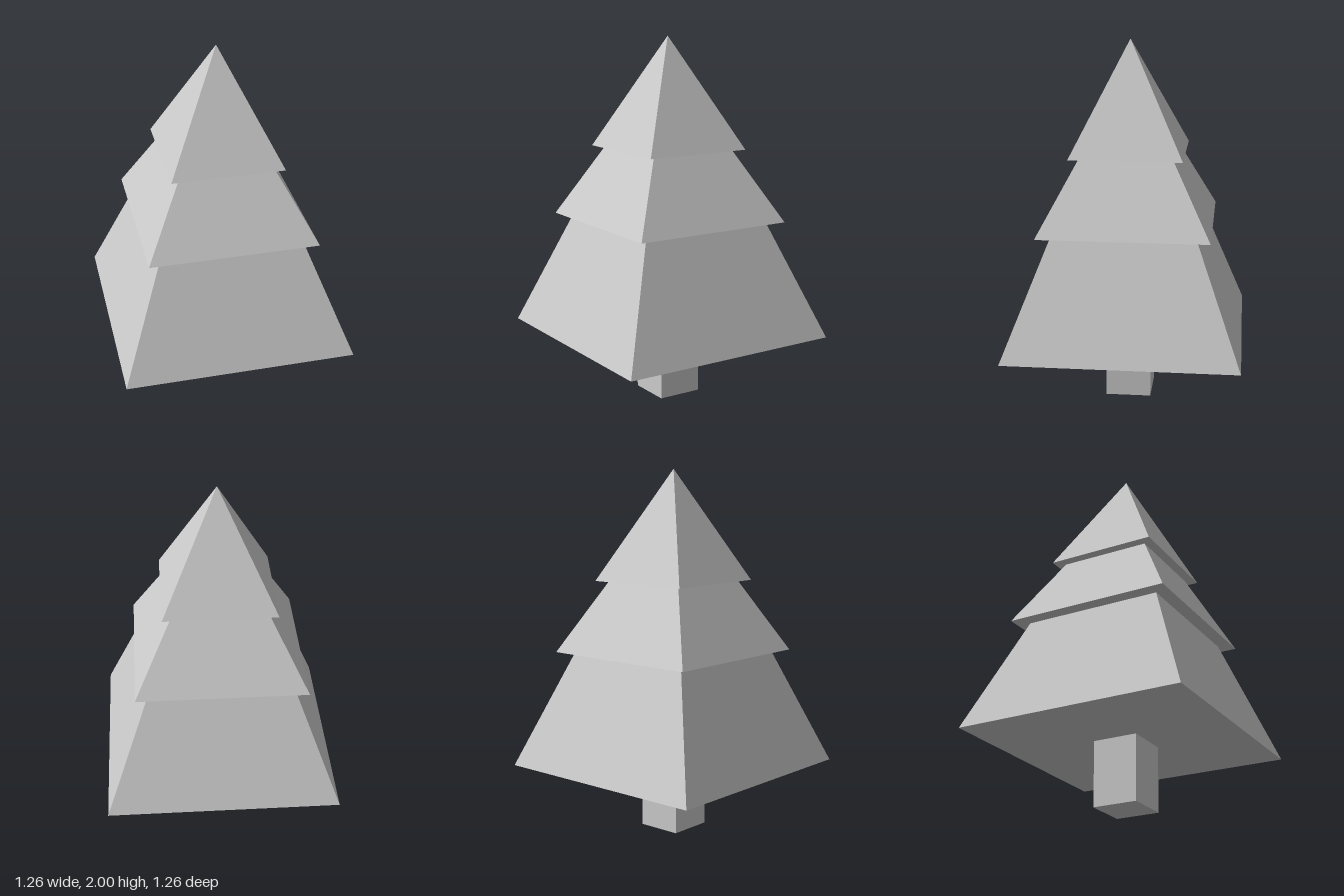
import * as THREE from 'three';

const material = new THREE.MeshStandardMaterial({ color: 0xcccccc, flatShading: true });

// Square frustum standing on y0, given half-widths at its base and top
function squareTier(name, baseHalf, topHalf, y0, y1) {
  const geometry = new THREE.CylinderGeometry(
    topHalf * Math.SQRT2, baseHalf * Math.SQRT2, y1 - y0, 4);
  geometry.rotateY(Math.PI / 4);
  geometry.translate(0, (y0 + y1) / 2, 0);
  const mesh = new THREE.Mesh(geometry, material);
  mesh.name = name;
  return mesh;
}

export function createModel() {
  const tree = new THREE.Group();
  tree.name = 'pineTree';

  // Square trunk
  const trunk = new THREE.Mesh(new THREE.BoxGeometry(0.25, 0.36, 0.25), material);
  trunk.position.y = 0.18;
  trunk.name = 'trunk';
  tree.add(trunk);

  // Three stacked foliage tiers, each overhanging the one below
  tree.add(
    squareTier('lowerFoliage', 0.632, 0.385, 0.36, 1.0),
    squareTier('middleFoliage', 0.46, 0.25, 1.0, 1.393),
    squareTier('topFoliage', 0.304, 0, 1.393, 2.0)
  );
  return tree;
}
